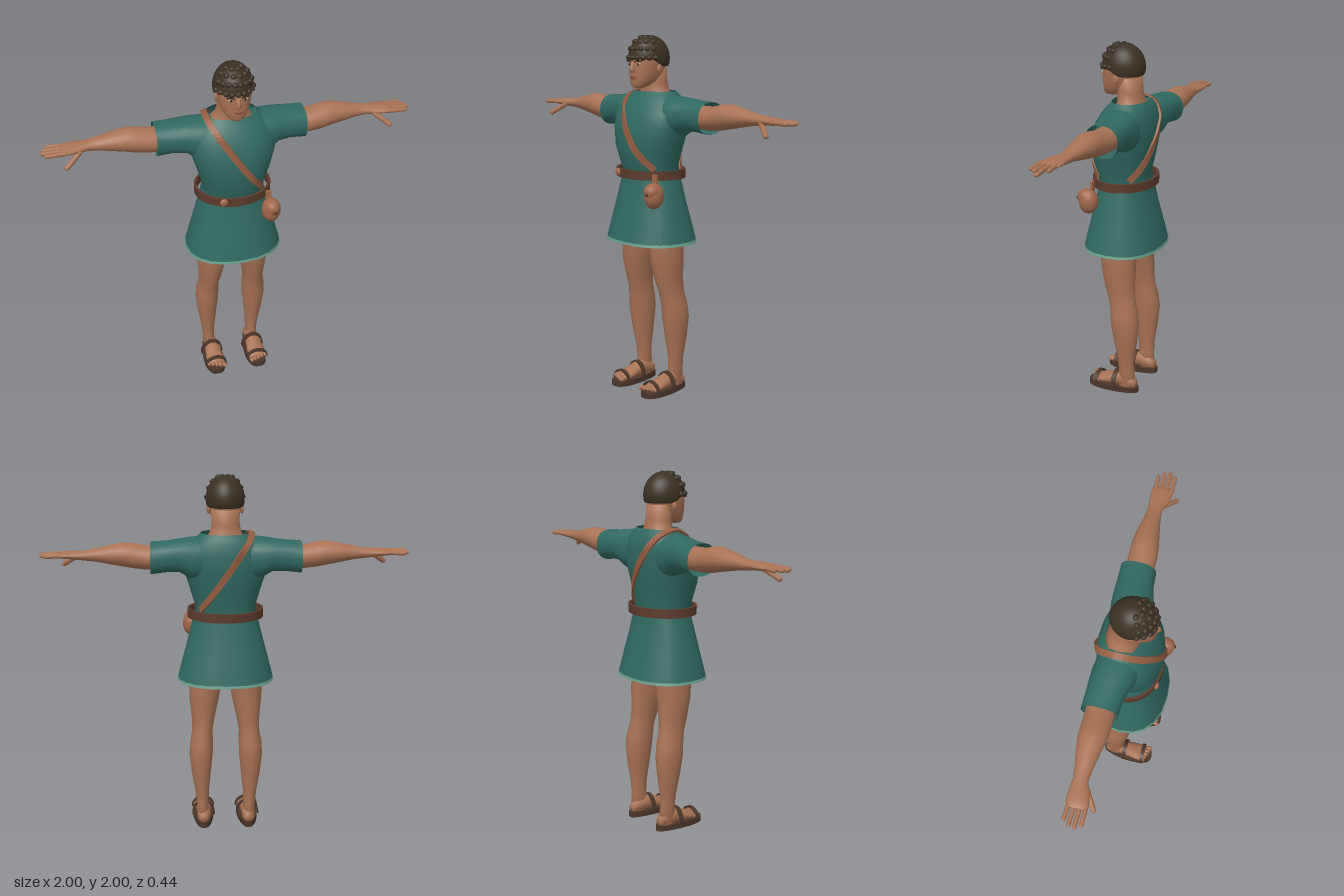
import * as THREE from 'three';

const mat = (name, color, side = THREE.FrontSide) => {
  const m = new THREE.MeshStandardMaterial({ color, side });
  m.name = name;
  return m;
};

// Position maps: p runs along the loft axis, a and b across it
const alongY = (p, a, b) => [a, p, b];
const alongX = (s) => (p, a, b) => [s * p, b, a];
const alongZ = (p, a, b) => [a, b, p];

// Joins superelliptic rings; each row is [p, aMin, aMax, bMin, bMax]
function loft(rows, map, { n = 24, e = 2, cap = true } = {}) {
  const pos = [], idx = [], pw = (v) => Math.sign(v) * Math.abs(v) ** (2 / e);
  for (const [p, a0, a1, b0, b1] of rows)
    for (let i = 0; i < n; i++) {
      const t = (i / n) * Math.PI * 2;
      pos.push(...map(p, (a0 + a1) / 2 + pw(Math.cos(t)) * (a1 - a0) / 2, (b0 + b1) / 2 + pw(Math.sin(t)) * (b1 - b0) / 2));
    }
  for (let r = 0; r < rows.length - 1; r++)
    for (let i = 0; i < n; i++) {
      const j = (i + 1) % n, q = r * n, u = q + n;
      idx.push(q + i, u + i, u + j, q + i, u + j, q + j);
    }
  if (cap) [0, rows.length - 1].forEach((r, k) => {
    const [p, a0, a1, b0, b1] = rows[r], c = pos.length / 3;
    pos.push(...map(p, (a0 + a1) / 2, (b0 + b1) / 2));
    for (let i = 0; i < n; i++) {
      const i0 = r * n + i, i1 = r * n + (i + 1) % n;
      idx.push(...(k ? [c, i1, i0] : [c, i0, i1]));
    }
  });
  // Turn faces outward using the signed volume about the centroid
  const v = (i) => new THREE.Vector3().fromArray(pos, i * 3), mid = new THREE.Vector3();
  for (let i = 0; i < pos.length / 3; i++) mid.add(v(i));
  mid.divideScalar(pos.length / 3);
  let vol = 0;
  for (let i = 0; i < idx.length; i += 3)
    vol += v(idx[i]).sub(mid).dot(v(idx[i + 1]).sub(mid).cross(v(idx[i + 2]).sub(mid)));
  if (vol < 0) idx.reverse();
  const g = new THREE.BufferGeometry();
  g.setAttribute('position', new THREE.Float32BufferAttribute(pos, 3));
  g.setIndex(idx);
  g.computeVertexNormals();
  return g;
}
// Symmetric row for upright parts: height, half width, back z, front z
const row = (y, rx, back, front, cx = 0) => [y, cx - rx, cx + rx, back, front];

// Elliptic ring of even wall, extruded by depth
function ring(rx, ry, wall, depth, from = 0, to = Math.PI * 2) {
  const pts = (x, y) => Array.from({ length: 41 }, (_, i) => {
    const t = from + (to - from) * i / 40;
    return new THREE.Vector2(Math.cos(t) * x, Math.sin(t) * y);
  });
  const inner = pts(rx - wall, ry - wall), full = to - from > 6;
  const s = new THREE.Shape(full ? pts(rx, ry) : [...pts(rx, ry), ...inner.reverse()]);
  if (full) s.holes.push(new THREE.Path(inner));
  return new THREE.ExtrudeGeometry(s, { depth, bevelEnabled: false }).translate(0, 0, -depth / 2);
}

export function createModel() {
  const model = new THREE.Group();
  const skin = mat('skin', 0xa87254), cloth = mat('teal cloth', 0x306860, THREE.DoubleSide);
  const trim = mat('pale trim', 0x649a88, THREE.DoubleSide), hairM = mat('dark hair', 0x3a3124);
  const belt = mat('dark leather', 0x5a3a2b), tan = mat('tan leather', 0xa0674a);
  const sandal = mat('sandal leather', 0x4a3529), lip = mat('lips', 0x7d4a3b), ink = mat('eye dark', 0x241a15);
  const eyeM = mat('eye white', 0xb8a898);
  const add = (name, g, m, x = 0, y = 0, z = 0, parent = model) => {
    const o = new THREE.Mesh(g, m);
    o.name = name;
    o.position.set(x, y, z);
    parent.add(o);
    return o;
  };
  const ball = (name, m, x, y, z, rx, ry, rz, seg = 16) =>
    add(name, new THREE.SphereGeometry(1, seg, Math.ceil(seg * 0.7)), m, x, y, z).scale.set(rx, ry, rz);
  const limb = (name, a, b, r) => {
    const A = new THREE.Vector3(...a), d = new THREE.Vector3(...b).sub(A);
    const o = add(name, new THREE.CapsuleGeometry(r, d.length(), 4, 10), skin);
    o.position.copy(A).addScaledVector(d, 0.5);
    o.quaternion.setFromUnitVectors(new THREE.Vector3(0, 1, 0), d.normalize());
  };

  // Tunic body, skirt and hem
  const torso = [row(1.23, 0.165, -0.13, 0.135), row(1.3, 0.17, -0.13, 0.155), row(1.4, 0.2, -0.15, 0.18),
    row(1.5, 0.23, -0.163, 0.17), row(1.58, 0.235, -0.163, 0.145), row(1.64, 0.2, -0.153, 0.11),
    row(1.675, 0.155, -0.135, 0.08), row(1.695, 0.135, -0.12, 0.065)];
  add('tunicBody', loft(torso, alongY, { n: 36, e: 2.2, cap: false }), cloth);
  add('skirt', loft([row(1.26, 0.168, -0.13, 0.135), row(1.2, 0.183, -0.14, 0.143), row(1.1, 0.208, -0.16, 0.165),
    row(0.98, 0.24, -0.19, 0.192), row(0.882, 0.265, -0.213, 0.215)], alongY, { n: 20, e: 2.3, cap: false }), cloth);
  add('skirtHem', loft([row(0.882, 0.265, -0.213, 0.215), row(0.868, 0.27, -0.217, 0.219)],
    alongY, { n: 20, e: 2.3, cap: false }), trim);

  // Neck, shoulders, hips and head
  add('neck', loft([row(1.6, 0.16, -0.13, 0.07), row(1.665, 0.12, -0.11, 0.05), row(1.69, 0.088, -0.1, 0.045),
    row(1.74, 0.075, -0.09, 0.05), row(1.82, 0.078, -0.085, 0.06)], alongY), skin);
  ball('hips', skin, 0, 1.0, -0.005, 0.185, 0.13, 0.115, 24);
  add('head', loft([row(1.715, 0.028, 0.06, 0.12), row(1.728, 0.046, 0.025, 0.13), row(1.755, 0.068, -0.03, 0.132),
    row(1.79, 0.082, -0.065, 0.134), row(1.835, 0.09, -0.08, 0.132), row(1.88, 0.094, -0.085, 0.134),
    row(1.94, 0.08, -0.06, 0.11)], alongY, { n: 28, e: 2.15 }), skin);
  add('nose', loft([row(1.855, 0.008, 0.11, 0.136), row(1.825, 0.011, 0.11, 0.15), row(1.808, 0.017, 0.11, 0.157),
    row(1.797, 0.014, 0.11, 0.142)], alongY, { n: 12 }), skin);
  add('upperLip', new THREE.SphereGeometry(1, 12, 8), lip, 0, 1.771, 0.131).scale.set(0.025, 0.004, 0.006);
  add('lowerLip', new THREE.SphereGeometry(1, 12, 8), lip, 0, 1.763, 0.13).scale.set(0.02, 0.005, 0.006);

  // Hair cap, lower edge rising toward the forehead
  const cap = new THREE.SphereGeometry(1, 36, 24).scale(0.105, 0.125, 0.12).translate(0, 1.87, 0.018);
  const cp = cap.attributes.position;
  for (let i = 0; i < cp.count; i++) {
    const edge = 1.83 + 0.038 * THREE.MathUtils.smoothstep(cp.getZ(i), -0.01, 0.08);
    cp.setY(i, Math.max(cp.getY(i), edge));
  }
  cap.computeVertexNormals();
  add('hair', cap, hairM);
  // Rows of curls over the front of the hair
  [[0, 9, 1.25], [0.42, 8, 1.15], [0.8, 6, 1.2], [1.15, 4, 1.2]].forEach(([lat, n, spread], r) => {
    for (let i = 0; i < n; i++) {
      const t = (i / (n - 1) * 2 - 1) * spread, c = Math.cos(lat);
      ball('curl', hairM, Math.sin(t) * c * 0.1, 1.875 + Math.sin(lat) * 0.115, 0.018 + Math.cos(t) * c * 0.115,
        0.017, 0.015, 0.015, r % 2 ? 10 : 12);
    }
  });

  // Shoulder strap following the tunic from the left hip over the right shoulder
  const surfZ = (x, y, front) => {
    const k = Math.min(torso.length - 2, Math.max(0, torso.findIndex((r) => r[0] > y) - 1));
    const [A, B] = [torso[k], torso[k + 1]], t = (y - A[0]) / (B[0] - A[0]);
    const [, , rx, b, f] = A.map((v, i) => v + (B[i] - v) * t);
    const q = Math.max(0, 1 - (Math.abs(x) / rx) ** 2.2) ** (1 / 2.2);
    return (f + b) / 2 + (front ? 1 : -1) * (q * (f - b) / 2 + 0.007);
  };
  const pathPts = [];
  for (const front of [true, false])
    for (let i = 0; i <= 7; i++) {
      const t = front ? i / 7 : 1 - i / 7, x = 0.14 - 0.265 * t, y = 1.28 + 0.385 * t;
      pathPts.push(new THREE.Vector3(x, y, surfZ(x, y, front)));
    }
  pathPts.splice(8, 0, new THREE.Vector3(-0.14, 1.695, -0.025));
  const path = new THREE.CatmullRomCurve3(pathPts), sp = [], si = [];
  for (let i = 0; i <= 70; i++) {
    const p = path.getPoint(i / 70), tan3 = path.getTangent(i / 70);
    const out = new THREE.Vector3(p.x, Math.max(0, p.y - 1.6) * 4, p.z + 0.01).normalize();
    const w = tan3.clone().cross(out).normalize(), nrm = w.clone().cross(tan3).normalize();
    for (const [a, b] of [[-1, -1], [1, -1], [1, 1], [-1, 1]])
      sp.push(...p.clone().addScaledVector(w, a * 0.017).addScaledVector(nrm, b * 0.006).toArray());
    if (i < 70) for (let k = 0; k < 4; k++) {
      const a = i * 4 + k, b = i * 4 + (k + 1) % 4;
      si.push(a, b, b + 4, a, b + 4, a + 4);
    }
  }
  const strapG = new THREE.BufferGeometry();
  strapG.setAttribute('position', new THREE.Float32BufferAttribute(sp, 3));
  strapG.setIndex(si);
  const flat = strapG.toNonIndexed();
  flat.computeVertexNormals();
  add('shoulderStrap', flat, mat('strap leather', 0x935c40, THREE.DoubleSide));

  // Belt, buckle and pouch
  add('belt', ring(0.21, 0.175, 0.014, 0.048).rotateX(Math.PI / 2), belt, 0, 1.25, 0.004);
  ball('buckle', tan, -0.085, 1.253, 0.165, 0.022, 0.022, 0.014);
  ball('pouch', tan, 0.182, 1.148, 0.143, 0.052, 0.07, 0.055, 24);
  ball('pouchFlap', tan, 0.184, 1.172, 0.155, 0.045, 0.046, 0.05, 20);
  ball('pouchButton', belt, 0.19, 1.163, 0.204, 0.01, 0.01, 0.007, 10);
  add('pouchLoop', new THREE.BoxGeometry(0.03, 0.07, 0.014), tan, 0.17, 1.225, 0.125);

  for (const s of [1, -1]) {
    const side = s > 0 ? 'left' : 'right';
    // Sleeve and arm: rows are [x, zMin, zMax, yMin, yMax]
    add(side + 'Sleeve', loft([[0.1, -0.14, 0.09, 1.43, 1.675], [0.19, -0.15, 0.085, 1.45, 1.672], [0.25, -0.15, 0.06, 1.488, 1.665],
      [0.32, -0.15, 0.043, 1.49, 1.656], [0.405, -0.152, 0.037, 1.48, 1.652]], alongX(s), { e: 2.3, cap: false }), cloth);
    add(side + 'Arm', loft([[0.2, -0.13, 0.02, 1.5, 1.64], [0.36, -0.13, 0.02, 1.505, 1.63], [0.43, -0.128, 0.022, 1.503, 1.632],
      [0.5, -0.128, 0.022, 1.512, 1.647], [0.55, -0.128, 0.015, 1.522, 1.65], [0.62, -0.118, 0.002, 1.535, 1.638],
      [0.7, -0.102, -0.012, 1.55, 1.62], [0.76, -0.095, -0.018, 1.556, 1.608], [0.82, -0.1, 0.008, 1.562, 1.606],
      [0.87, -0.1, 0.014, 1.566, 1.602], [0.9, -0.094, 0.01, 1.572, 1.596]], alongX(s)), skin);
    [[-0.086, 0.96], [-0.056, 0.982], [-0.026, 0.988], [0.004, 0.97]].forEach(([z, tip]) =>
      limb(side + 'Finger', [s * 0.875, 1.585, z * 0.93], [s * tip, 1.582, z], 0.0115));
    limb(side + 'Thumb', [s * 0.8, 1.572, -0.012], [s * 0.875, 1.52, 0.036], 0.014);

    // Leg
    const L = (y, x0, x1, z0, z1) => [y, Math.min(s * x0, s * x1), Math.max(s * x0, s * x1), z0, z1];
    add(side + 'Leg', loft([L(0.03, 0.1, 0.165, -0.115, -0.01), L(0.13, 0.1, 0.168, -0.112, -0.018), L(0.2, 0.098, 0.175, -0.112, -0.015),
      L(0.32, 0.086, 0.195, -0.13, 0.008), L(0.43, 0.075, 0.207, -0.14, 0.025), L(0.5, 0.073, 0.203, -0.132, 0.03),
      L(0.57, 0.075, 0.19, -0.115, 0.042), L(0.64, 0.062, 0.192, -0.108, 0.065), L(0.75, 0.038, 0.203, -0.108, 0.088),
      L(0.87, 0.014, 0.206, -0.11, 0.1), L(1.02, 0.005, 0.195, -0.11, 0.1)], alongY), skin);

    // Foot, toes and sandal: foot rows are [z, xMin, xMax, yMin, yMax]
    const cx = s * 0.128, F = (z, w, h) => [z, cx - w, cx + w, 0.025, h];
    add(side + 'Foot', loft([F(-0.122, 0.022, 0.075), F(-0.1, 0.036, 0.1), F(-0.03, 0.04, 0.12), F(0.02, 0.045, 0.1),
      F(0.08, 0.052, 0.075), F(0.125, 0.05, 0.06)], alongZ, { n: 20 }), skin);
    for (let i = 0; i < 5; i++)
      ball(side + 'Toe', skin, cx + s * (i * 0.022 - 0.042), 0.045, 0.146 - i * 0.008, 0.0125, 0.014, 0.022, 10);
    const sole = new THREE.Shape(Array.from({ length: 32 }, (_, i) => {
      const t = (i / 32) * Math.PI * 2, z = Math.sin(t);
      return new THREE.Vector2(Math.sign(Math.cos(t)) * Math.abs(Math.cos(t)) ** 0.75 * (0.058 + 0.013 * z), -z * 0.154);
    }));
    add(side + 'Sole', new THREE.ExtrudeGeometry(sole, { depth: 0.032, bevelEnabled: false }).rotateX(-Math.PI / 2), sandal, cx, 0, 0.018);
    add(side + 'InstepStrap', ring(0.066, 0.088, 0.008, 0.026, 0, Math.PI), sandal, cx, 0.028, -0.002);
    add(side + 'ToeStrap', ring(0.066, 0.058, 0.008, 0.022, 0, Math.PI), sandal, cx, 0.028, 0.113);

    // Ear, eye and brow
    ball(side + 'Ear', skin, s * 0.09, 1.815, 0.02, 0.01, 0.027, 0.018);
    ball(side + 'Eye', eyeM, s * 0.037, 1.841, 0.122, 0.016, 0.007, 0.006, 12);
    ball(side + 'Iris', ink, s * 0.037, 1.841, 0.1265, 0.007, 0.0065, 0.003, 10);
    const brow = add(side + 'Brow', new THREE.BoxGeometry(0.042, 0.008, 0.009), hairM, s * 0.038, 1.857, 0.127);
    brow.rotation.set(0, s * 0.25, s * 0.08);
  }
  return model;
}
